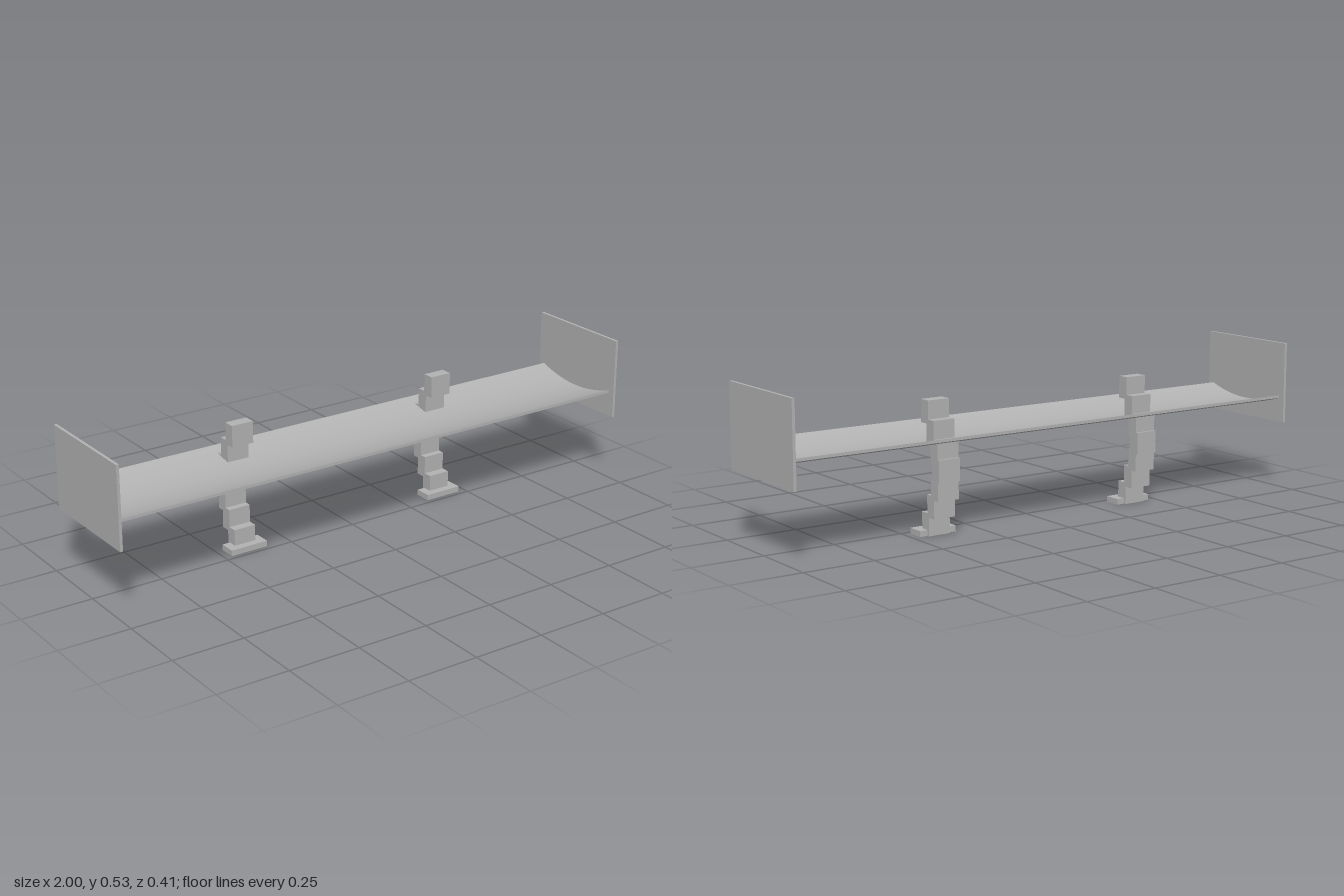
import * as THREE from 'three';
import { toCreasedNormals } from 'three/addons/utils/BufferGeometryUtils.js';

export function createModel() {
  const group = new THREE.Group();
  const grey = new THREE.MeshStandardMaterial({ name: 'grey', color: 0xb2b2b2 });

  function box(parent, name, size, position) {
    const mesh = new THREE.Mesh(new THREE.BoxGeometry(...size), grey);
    mesh.name = name;
    mesh.position.set(...position);
    parent.add(mesh);
  }

  // Curved blade: a thin sagging profile swept across the width
  const halfChord = 0.178, steps = 20, span = 1.98;
  const profile = new THREE.Shape();
  const sag = (t, rim, dip) => rim - dip * (1 - t * t);
  for (let i = 0; i <= steps; i++) {
    const t = -1 + (2 * i) / steps;
    const y = sag(t, 0.325, 0.03);
    if (i === 0) profile.moveTo(t * halfChord, y);
    else profile.lineTo(t * halfChord, y);
  }
  for (let i = steps; i >= 0; i--) {
    const t = -1 + (2 * i) / steps;
    profile.lineTo(t * halfChord, sag(t, 0.335, 0.033));
  }
  const bladeGeometry = new THREE.ExtrudeGeometry(profile, { depth: span, bevelEnabled: false });
  bladeGeometry.translate(0, 0, -span / 2).rotateY(-Math.PI / 2);
  const blade = new THREE.Mesh(toCreasedNormals(bladeGeometry, 0.5), grey);
  blade.name = 'blade';
  group.add(blade);

  for (const side of [-1, 1]) {
    const label = side > 0 ? 'left' : 'right';

    // Upright plate closing the end of the blade
    box(group, label + 'EndPlate', [0.01, 0.286, 0.405], [side * 0.995, 0.382, 0]);

    // Stepped support: seven overlapping blocks bowing backwards
    const support = new THREE.Group();
    support.name = label + 'Support';
    support.position.x = side * 0.405;
    for (let i = 0; i < 7; i++) {
      const z = -0.0655 - 0.0625 * Math.sin((i * Math.PI) / 6);
      box(support, 'supportBlock', [0.08, 0.076, 0.041], [0, 0.038 + i * 0.0617, z]);
    }
    box(support, 'foot', [0.138, 0.02, 0.059], [0, 0.01, -0.0475]);
    group.add(support);
  }
  return group;
}
